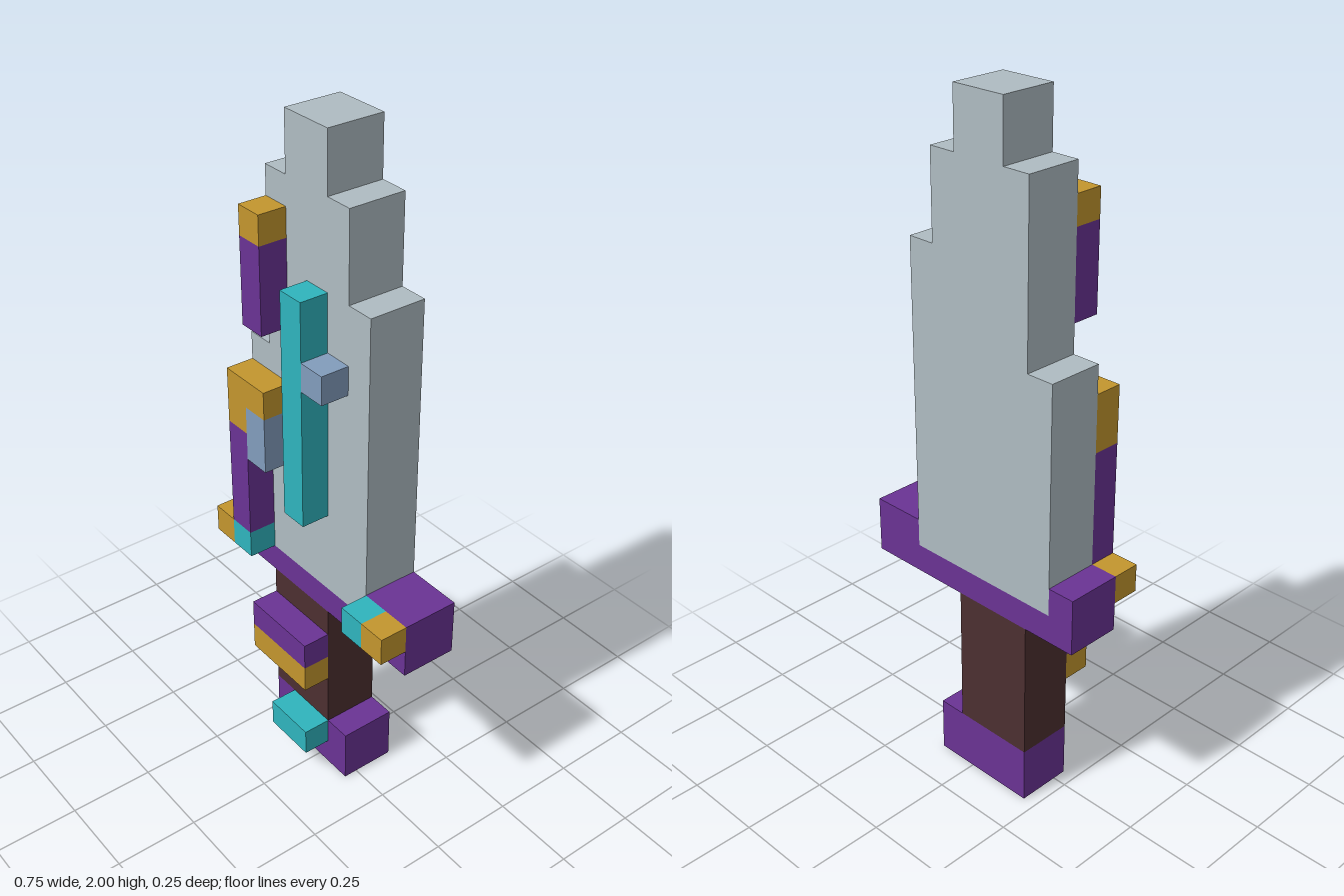
import * as THREE from 'three';

const U = 1 / 12;                 // one grid cell
const BACK = -1.5 * U;            // back of the body
const SEAM = 0.5 * U;             // body front, where the ornaments start

const X = (col) => (col - 4.5) * U;

function material(name, color) {
  const m = new THREE.MeshStandardMaterial({ color });
  m.name = name;
  return m;
}

export function createModel() {
  const steel = material('pale steel', 0xafbcc2);
  const purple = material('purple', 0x6a3394);
  const gold = material('gold', 0xc3962e);
  const cyan = material('cyan', 0x2fb4bd);
  const blue = material('slate blue', 0x829cbc);
  const brown = material('dark brown', 0x4c2f30);

  const sword = new THREE.Group();
  sword.name = 'sword';

  // Stepped silhouette in grid cells, two cells deep
  const plate = (name, mat, outline) => {
    const shape = new THREE.Shape(outline.map(([c, r]) => new THREE.Vector2(X(c), r * U)));
    const geo = new THREE.ExtrudeGeometry(shape, { depth: SEAM - BACK, bevelEnabled: false });
    geo.translate(0, 0, BACK);
    const mesh = new THREE.Mesh(geo, mat);
    mesh.name = name;
    sword.add(mesh);
  };

  // Block covering columns c0..c1 and rows r0..r1
  const block = (parent, name, mat, c0, c1, r0, r1, z0 = SEAM, z1 = SEAM + U) => {
    const geo = new THREE.BoxGeometry((c1 - c0) * U, (r1 - r0) * U, z1 - z0);
    const mesh = new THREE.Mesh(geo, mat);
    mesh.position.set((X(c0) + X(c1)) / 2, (r0 + r1) / 2 * U, (z0 + z1) / 2);
    mesh.name = name;
    parent.add(mesh);
  };

  // Hilt
  block(sword, 'pommel', purple, 2, 6, 0, 2, BACK, SEAM);
  block(sword, 'grip', brown, 2, 5, 2, 7, BACK, SEAM);

  // Crossguard with raised ends
  plate('crossguard', purple, [[0, 7], [9, 7], [9, 9], [7, 9], [7, 8], [1, 8], [1, 9], [0, 9]]);

  // Blade stepping up to the tip
  plate('blade', steel, [
    [1, 8], [7, 8], [7, 19], [6, 19], [6, 22], [5, 22], [5, 24],
    [3, 24], [3, 22], [2, 22], [2, 16], [1, 16],
  ]);

  // Raised ornaments on the front
  const ornaments = new THREE.Group();
  ornaments.name = 'ornaments';
  sword.add(ornaments);
  [
    ['pommelGem', cyan, 3, 5, 1, 2],
    ['gripLowerBand', gold, 2, 5, 4, 5],
    ['gripUpperBand', purple, 2, 5, 5, 6],
    ['guardRightCap', gold, 0, 1, 8, 9],
    ['guardRightGem', cyan, 1, 2, 8, 9],
    ['guardLeftGem', cyan, 7, 8, 8, 9],
    ['guardLeftCap', gold, 8, 9, 8, 9],
    ['lowerEdgeBar', purple, 1, 2, 9, 13],
    ['lowerEdgeCap', gold, 1, 2, 13, 15],
    ['lowerEdgeHook', gold, 2, 3, 14, 15],
    ['lowerEdgeStud', blue, 2, 3, 12, 14],
    ['upperEdgeBar', purple, 2, 3, 17, 20],
    ['upperEdgeCap', gold, 2, 3, 20, 21],
    ['bladeInlay', cyan, 4, 5, 11, 19],
    ['bladeStud', blue, 5, 6, 16, 17],
  ].forEach((o) => block(ornaments, ...o));

  return sword;
}
